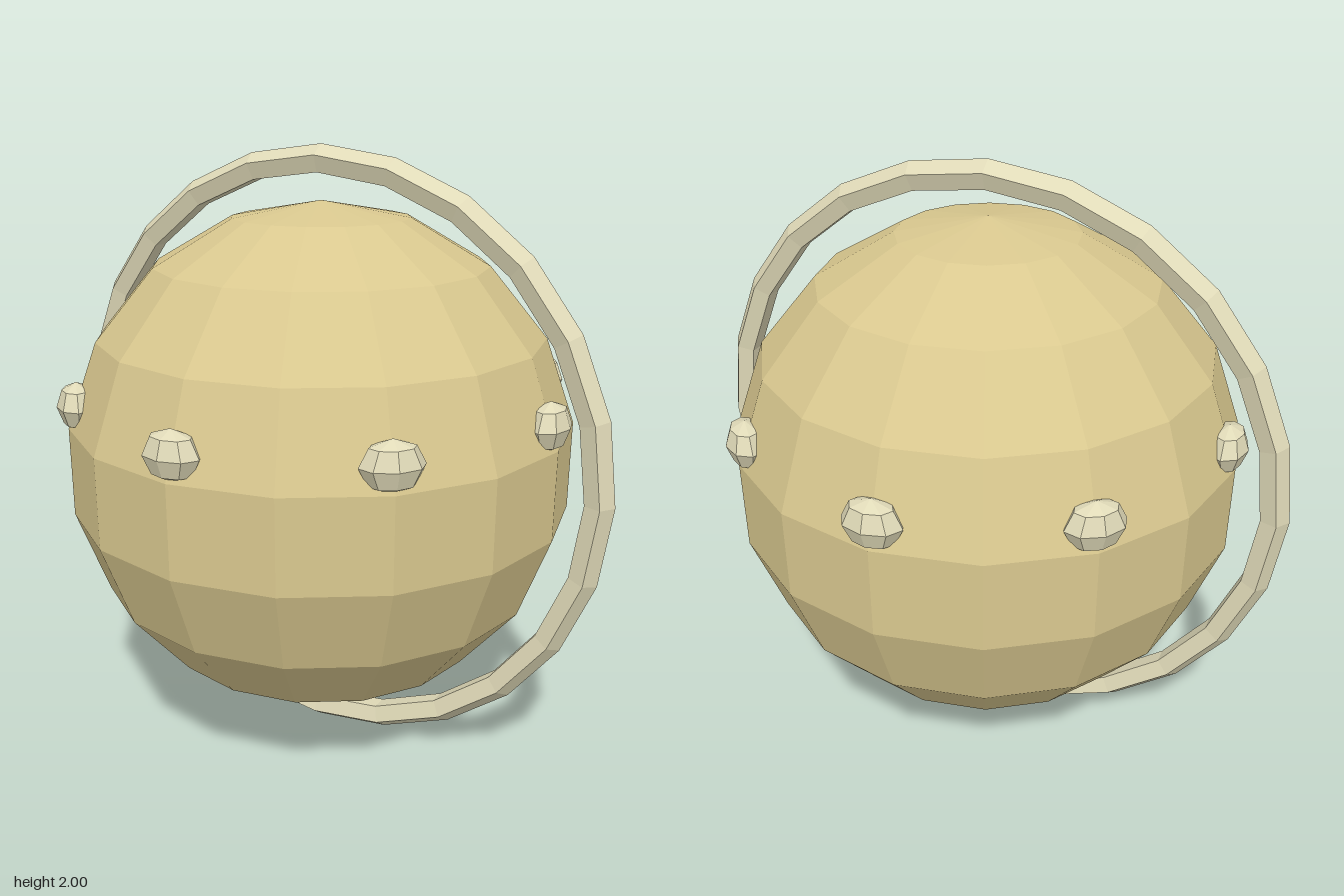
import * as THREE from 'three';

const BODY_RADIUS = 0.83;
const CENTRE_Y = 1;
const STUD_COUNT = 8;

const bodyMaterial = new THREE.MeshStandardMaterial({ color: 0xd9c88f, flatShading: true });
const trimMaterial = new THREE.MeshStandardMaterial({ color: 0xe0dab8, flatShading: true });

function addMesh(parent, name, geometry, material) {
  const mesh = new THREE.Mesh(geometry, material);
  mesh.name = name;
  parent.add(mesh);
  return mesh;
}

export function createModel() {
  const model = new THREE.Group();
  model.name = 'ringedSphere';

  // Faceted globe
  const body = addMesh(model, 'body', new THREE.SphereGeometry(BODY_RADIUS, 16, 9), bodyMaterial);
  body.position.y = CENTRE_Y;

  // Upright hoop with a five-sided section, standing clear of the globe
  const hoop = addMesh(model, 'hoop', new THREE.TorusGeometry(0.953, 0.047, 5, 24), trimMaterial);
  hoop.position.y = CENTRE_Y;

  // Flattened studs evenly spaced just above the equator
  const studs = new THREE.Group();
  studs.name = 'studs';
  model.add(studs);
  const studGeometry = new THREE.SphereGeometry(1, 8, 4).scale(0.095, 0.076, 0.064);
  for (let i = 0; i < STUD_COUNT; i++) {
    const angle = (i / STUD_COUNT) * Math.PI * 2;
    const stud = addMesh(studs, 'stud', studGeometry, trimMaterial);
    stud.position.set(Math.sin(angle) * 0.785, 1.218, Math.cos(angle) * 0.785);
    stud.rotation.y = angle;
  }

  return model;
}
